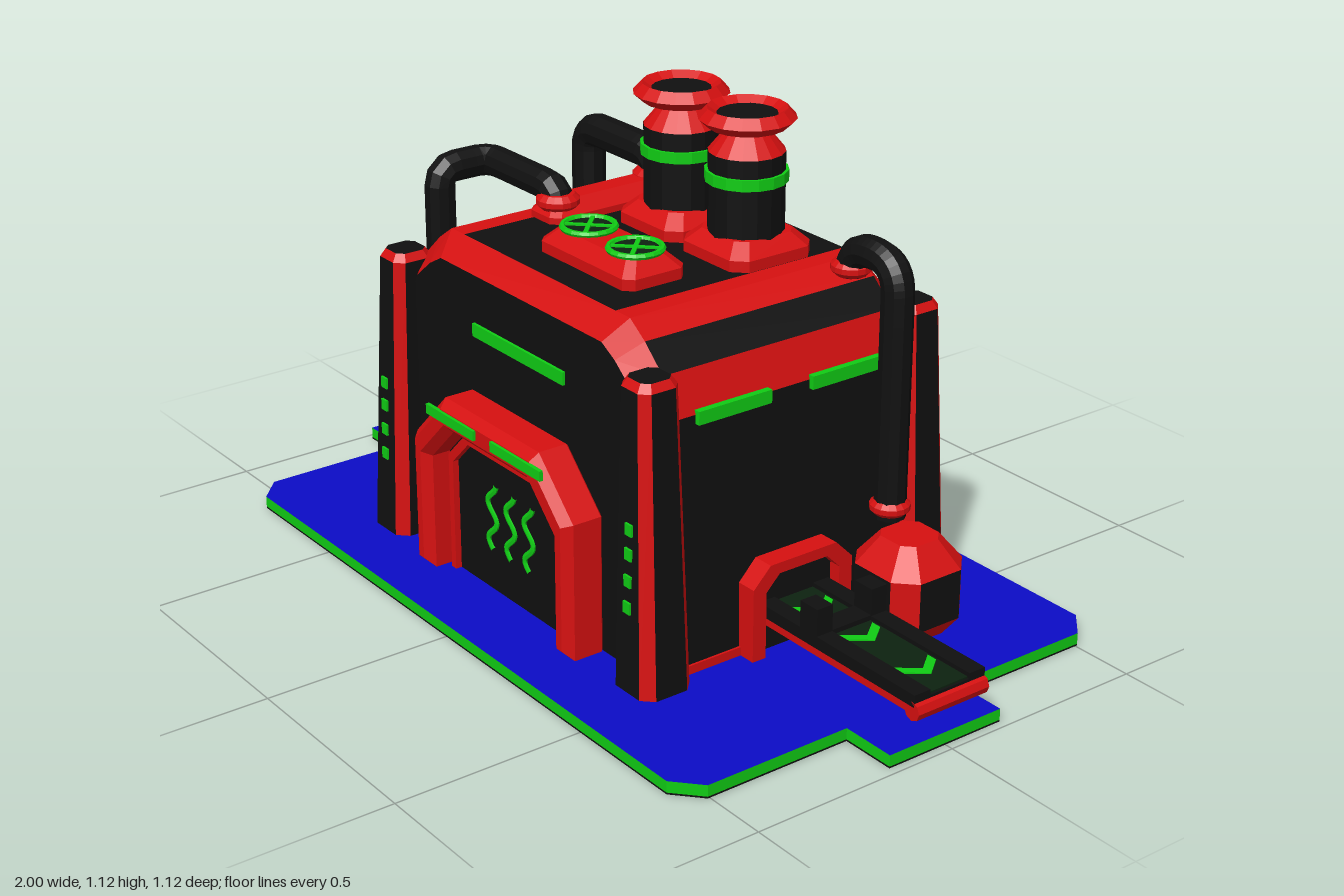
import * as THREE from 'three';

const mat = (name, color, extra = {}) => {
  const m = new THREE.MeshStandardMaterial({ color, ...extra });
  m.name = name;
  return m;
};

export function createModel() {
  const root = new THREE.Group();
  root.name = 'factory';
  const flat = { flatShading: true };
  const black = mat('black', 0x101010, flat), red = mat('red', 0xd61010, flat);
  const green = mat('green', 0x10cc14, flat), blue = mat('blue', 0x0c0cc6, flat);
  const darkGreen = mat('darkGreen', 0x0d2210, flat);

  const add = (name, geo, m, x = 0, y = 0, z = 0, parent = root) => {
    const mesh = new THREE.Mesh(geo, m);
    mesh.name = name;
    mesh.position.set(x, y, z);
    parent.add(mesh);
    return mesh;
  };
  // box given by its minimum and maximum corners
  const box = (name, m, x0, x1, y0, y1, z0, z1) =>
    add(name, new THREE.BoxGeometry(x1 - x0, y1 - y0, z1 - z0), m, (x0 + x1) / 2, (y0 + y1) / 2, (z0 + z1) / 2);

  // skin between rings of points; pick(i, j) gives the material of side i in band j
  const loft = (name, rings, pick, startMat, endMat) => {
    const faces = new Map();
    const tri = (m, ...p) => {
      if (!faces.has(m)) faces.set(m, []);
      p.forEach(v => faces.get(m).push(...v));
    };
    const n = rings[0].length, last = rings[rings.length - 1];
    for (let j = 0; j < rings.length - 1; j++) for (let i = 0; i < n; i++) {
      const k = (i + 1) % n, a = rings[j], b = rings[j + 1];
      tri(pick(i, j), a[i], a[k], b[k], a[i], b[k], b[i]);
    }
    for (let i = 1; i < n - 1; i++) {
      tri(startMat, rings[0][0], rings[0][i + 1], rings[0][i]);
      tri(endMat, last[0], last[i], last[i + 1]);
    }
    const geo = new THREE.BufferGeometry(), pos = [], mats = [];
    for (const [m, list] of faces) {
      geo.addGroup(pos.length / 3, list.length / 3, mats.length);
      mats.push(m);
      for (const v of list) pos.push(v);
    }
    geo.setAttribute('position', new THREE.Float32BufferAttribute(pos, 3));
    geo.computeVertexNormals();
    return add(name, geo, mats);
  };
  // rectangle with cut corners: even sides are flats, odd sides are cuts
  const octagon = (cx, cz, hx, hz, c, y) => [
    [hx, hz - c], [hx, c - hz], [hx - c, -hz], [c - hx, -hz],
    [-hx, c - hz], [-hx, hz - c], [c - hx, hz], [hx - c, hz],
  ].map(([x, z]) => [cx + x, y, cz + z]);
  const shape = pts => new THREE.Shape(pts.map(([x, y]) => new THREE.Vector2(x, y)));
  const archLine = (w, h, c, y0) => [[w, y0], [w, h - c], [w - c, h], [c - w, h], [-w, h - c], [-w, y0]];
  const archGeo = (outer, inner, opts) => new THREE.ExtrudeGeometry(
    shape(inner ? [...outer, ...[...inner].reverse()] : outer), { bevelEnabled: false, ...opts });

  // ground plate with a tab at each end
  const quarter = [[0.98, 0.15], [0.85, 0.15], [0.85, 0.505], [0.79, 0.56]];
  const half = [...quarter, ...quarter.map(([x, z]) => [-x, z]).reverse()];
  const outline = shape([...half, ...half.map(([x, z]) => [-x, -z])]);
  const slab = depth => new THREE.ExtrudeGeometry(outline, { depth, bevelEnabled: false }).rotateX(-Math.PI / 2);
  add('groundPlate', slab(0.026), [blue, green], 0, 0.004, 0);
  add('groundUnderside', slab(0.004), black);

  // main hall: profile along z with bevelled ends
  const ring = (pts, z) => [...pts, ...pts.map(([x, y]) => [-x, y]).reverse()].map(([x, y]) => [x, y, z]);
  const wall = [[0.485, 0.03], [0.47, 0.61], [0.44, 0.70], [0.38, 0.755], [0.33, 0.79], [0.28, 0.79]];
  const end = [[0.445, 0.03], [0.435, 0.59], [0.40, 0.67], [0.345, 0.715], [0.30, 0.74], [0.26, 0.74]];
  const blackSides = [0, 2, 5, 8, 10, 11], blackBevels = [0, 10, 11];
  loft('hall', [ring(end, -0.36), ring(wall, -0.305), ring(wall, 0.305), ring(end, 0.355)],
    (i, j) => (j === 1 ? blackSides : blackBevels).includes(i) ? black : red, black, black);
  box('skirting', red, -0.49, 0.49, 0.03, 0.05, -0.3, 0.3);

  // tapered corner columns
  for (const sx of [-1, 1]) for (const sz of [-1, 1]) {
    loft('cornerColumn', [
      octagon(sx * 0.472, sz * 0.355, 0.066, 0.065, 0.025, 0.03),
      octagon(sx * 0.455, sz * 0.35, 0.047, 0.05, 0.02, 0.70),
      octagon(sx * 0.455, sz * 0.35, 0.036, 0.038, 0.015, 0.718),
    ], (i, j) => j === 0 && i % 2 === 0 ? black : red, black, black);
    if (sz > 0) for (const y of [0.4, 0.345, 0.285, 0.225]) {
      const z = 0.42 - 0.02 * (y - 0.03) / 0.67;
      box('columnLight', green, sx * 0.467 - 0.011, sx * 0.467 + 0.011, y - 0.013, y + 0.013, z - 0.004, z + 0.005);
    }
    // side light strips
    const x = sx * 0.473;
    box('sideLight', green, x - 0.009, x + 0.009, 0.59, 0.62, sz * 0.15 - 0.095, sz * 0.15 + 0.095);
  }
  box('frontLight', green, -0.17, 0.17, 0.6, 0.63, 0.353, 0.362);

  // front gate
  add('gateFrame', archGeo(archLine(0.28, 0.45, 0.11, 0.05), archLine(0.26, 0.415, 0.1, 0.05),
    { depth: 0.07, bevelEnabled: true, bevelSize: 0.02, bevelThickness: 0.02, bevelSegments: 1 }), red, 0, 0, 0.36);
  add('gateInnerFrame', archGeo(archLine(0.222, 0.38, 0.07, 0.03), archLine(0.205, 0.36, 0.063, 0.03), { depth: 0.06 }), red, 0, 0, 0.34);
  add('gateDoor', archGeo(archLine(0.25, 0.405, 0.09, 0.03), null, { depth: 0.04 }), black, 0, 0, 0.345);
  for (const s of [-1, 1]) box('gateLight', green, s * 0.125 - 0.093, s * 0.125 + 0.093, 0.425, 0.448, 0.448, 0.457);
  for (const x of [-0.07, 0, 0.07]) {
    const pts = Array.from({ length: 17 }, (_, i) =>
      new THREE.Vector3(-0.017 * Math.sin(i / 16 * Math.PI * 3.5), 0.13 + i * 0.01, 0));
    add('heatWave', new THREE.TubeGeometry(new THREE.CatmullRomCurve3(pts), 32, 0.008, 6).scale(1, 1, 0.5), green, x, 0, 0.387);
  }

  // rear shutters
  for (const s of [-1, 1]) {
    box('shutterFrame', red, s * 0.15 - 0.105, s * 0.15 + 0.105, 0.03, 0.25, -0.375, -0.35);
    box('shutter', darkGreen, s * 0.15 - 0.097, s * 0.15 + 0.097, 0.035, 0.242, -0.379, -0.374);
  }

  // roof plates with cut edges
  const roofPlate = (name, cx, cz, hx, hz, c, top, topMat) => loft(name, [
    octagon(cx, cz, hx, hz, c, 0.78), octagon(cx, cz, hx, hz, c, top - 0.03),
    octagon(cx, cz, hx - 0.03, hz - 0.03, c * 0.8, top)], () => red, red, topMat);
  roofPlate('fanPlate', 0.055, 0.15, 0.165, 0.08, 0.02, 0.845, red);
  roofPlate('pipePlate', -0.255, -0.05, 0.055, 0.17, 0.02, 0.835, red);

  // roof fans
  for (const x of [-0.027, 0.14]) {
    add('fanDisc', new THREE.CylinderGeometry(0.06, 0.06, 0.006, 20), darkGreen, x, 0.847, 0.15);
    add('fanRing', new THREE.TorusGeometry(0.058, 0.007, 6, 20).rotateX(Math.PI / 2), green, x, 0.85, 0.15);
    for (const a of [-1, 1]) add('fanBlade', new THREE.BoxGeometry(0.11, 0.008, 0.01), green, x, 0.85, 0.15).rotation.y = a * Math.PI / 4;
  }

  // chimneys
  const lathe = pts => new THREE.LatheGeometry(pts.map(([r, y]) => new THREE.Vector2(r, y)), 16);
  for (const x of [-0.058, 0.17]) {
    roofPlate('chimneyBase', x, -0.125, 0.109, 0.11, 0.03, 0.845, red);
    add('chimneyStack', new THREE.CylinderGeometry(0.084, 0.084, 0.19, 16), black, x, 0.925, -0.122);
    add('chimneyBand', new THREE.CylinderGeometry(0.091, 0.091, 0.025, 16), green, x, 0.967, -0.122);
    add('chimneyCap', lathe([[0.084, 1.02], [0.045, 1.068], [0.085, 1.073], [0.107, 1.093], [0.087, 1.115], [0.065, 1.1]]), red, x, 0, -0.122);
    add('chimneyMouth', new THREE.CylinderGeometry(0.066, 0.066, 0.004, 16), black, x, 1.1, -0.122);
  }

  // bent pipes: straight runs joined by rounded corners
  const pipe = (name, r, bend, ...coords) => {
    const p = coords.map(c => new THREE.Vector3(...c)), path = new THREE.CurvePath();
    let from = p[0];
    for (let i = 1; i < p.length - 1; i++) {
      const a = p[i].clone().add(p[i - 1].clone().sub(p[i]).setLength(bend));
      const b = p[i].clone().add(p[i + 1].clone().sub(p[i]).setLength(bend));
      path.add(new THREE.LineCurve3(from, a));
      path.add(new THREE.QuadraticBezierCurve3(a, p[i], b));
      from = b;
    }
    path.add(new THREE.LineCurve3(from, p[p.length - 1]));
    add(name, new THREE.TubeGeometry(path, 60, r, 10), black);
  };
  const collar = (x, y, z, r = 0.045) =>
    add('pipeCollar', lathe([[0, -0.018], [r - 0.012, -0.018], [r, -0.006], [r, 0.006], [r - 0.012, 0.018], [0, 0.018]]), red, x, y, z);
  pipe('rightPipe', 0.036, 0.07, [0.375, 0.78, -0.245], [0.375, 0.84, -0.245], [0.523, 0.84, -0.245], [0.523, 0.26, -0.245]);
  collar(0.375, 0.79, -0.245);
  collar(0.523, 0.285, -0.245);
  pipe('leftRearPipe', 0.04, 0.05, [-0.26, 0.82, -0.21], [-0.26, 0.875, -0.21], [-0.53, 0.875, -0.21], [-0.53, 0.03, -0.21]);
  pipe('leftFrontPipe', 0.036, 0.04, [-0.25, 0.8, 0.075], [-0.25, 0.855, 0.075], [-0.525, 0.855, 0.075], [-0.525, 0.855, 0.21], [-0.525, 0.03, 0.21]);
  collar(-0.26, 0.83, -0.21, 0.058);
  collar(-0.25, 0.83, 0.075, 0.05);
  collar(-0.53, 0.05, -0.21, 0.05);
  collar(-0.525, 0.05, 0.21);

  // side tank
  loft('tank', [
    octagon(0.61, -0.225, 0.07, 0.07, 0.03, 0.035), octagon(0.61, -0.225, 0.102, 0.102, 0.045, 0.08),
    octagon(0.61, -0.225, 0.102, 0.102, 0.045, 0.195), octagon(0.61, -0.225, 0.055, 0.055, 0.024, 0.257),
  ], (i, j) => j === 1 && i % 2 === 0 ? black : red, black, red);

  // conveyors through arched side openings
  const chevron = new THREE.ExtrudeGeometry(
    shape([[-0.03, 0.045], [-0.005, 0.045], [0.03, 0], [-0.005, -0.045], [-0.03, -0.045], [0.005, 0]]),
    { depth: 0.003, bevelEnabled: false }).rotateX(-Math.PI / 2);
  for (const s of [-1, 1]) {
    const span = (name, m, a, b, ...rest) => box(name, m, Math.min(s * a, s * b), Math.max(s * a, s * b), ...rest);
    const turn = s * Math.PI / 2;
    add('archFrame', archGeo(archLine(0.135, 0.245, 0.045, 0.03), archLine(0.1, 0.22, 0.035, 0.03), { depth: 0.08 }), red, s * 0.45).rotation.y = turn;
    add('archOpening', archGeo(archLine(0.11, 0.23, 0.04, 0.03), null, { depth: 0.05 }), black, s * 0.45).rotation.y = turn;
    span('conveyorFrame', red, 0.48, 0.985, 0.095, 0.122, -0.085, 0.085);
    span('conveyorBed', black, 0.48, 0.985, 0.12, 0.135, -0.095, 0.095);
    span('belt', darkGreen, 0.48, 0.98, 0.134, 0.139, -0.052, 0.052);
    for (const z of [-1, 1]) span('conveyorRail', black, 0.48, 0.985, 0.13, 0.148, z * 0.074 - 0.021, z * 0.074 + 0.021);
    add('endRoller', new THREE.CylinderGeometry(0.022, 0.022, 0.19, 8).rotateX(Math.PI / 2), red, s * 0.978, 0.11, 0);
    for (const x of s < 0 ? [0.59, 0.785, 0.87] : [0.58, 0.73, 0.9])
      add('beltArrow', chevron, green, s * x, 0.139, 0).rotation.y = s < 0 ? Math.PI : 0;
    for (const x of s < 0 ? [0.733, 0.918] : [0.66]) {
      span('sensorSill', black, x - 0.027, x + 0.027, 0.13, 0.15, -0.09, 0.09);
      for (const z of [-1, 1]) span('sensorPost', black, x - 0.027, x + 0.027, 0.13, 0.21, z * 0.074 - 0.021, z * 0.074 + 0.021);
    }
  }
  return root;
}
